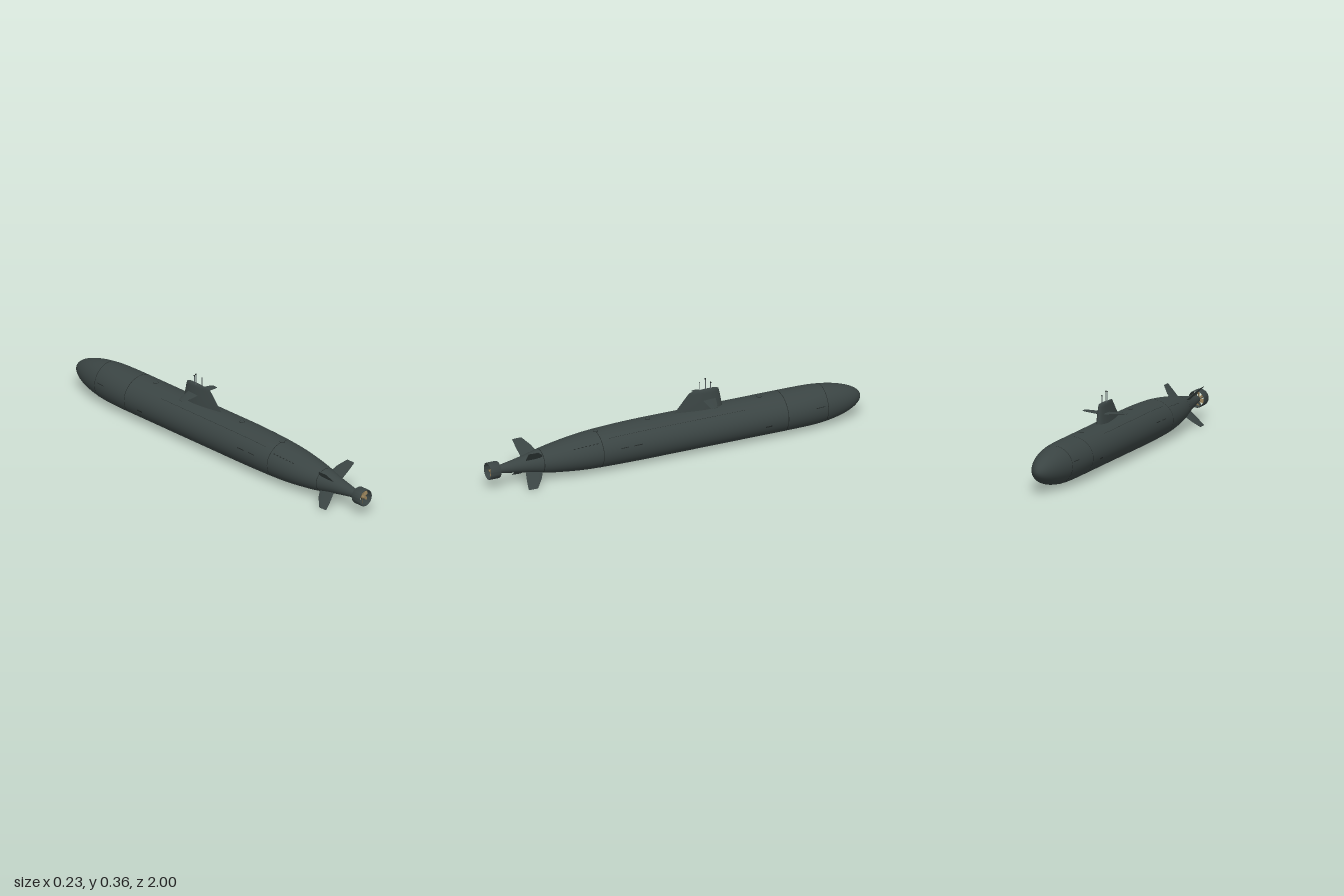
import * as THREE from 'three';
import { toCreasedNormals } from 'three/addons/utils/BufferGeometryUtils.js';

const paint = (name, color) => {
  const m = new THREE.MeshStandardMaterial({ color });
  m.name = name;
  return m;
};

// Skin closed rings (counter-clockwise about the loft direction) and cap both ends
function loft(rings) {
  const n = rings[0].length, pos = [], idx = [];
  rings.forEach(r => r.forEach(p => pos.push(...p)));
  for (let j = 0; j < rings.length - 1; j++) {
    for (let i = 0; i < n; i++) {
      const a = j * n + i, b = j * n + (i + 1) % n;
      idx.push(a, b, b + n, a, b + n, a + n);
    }
  }
  [[rings[0], true], [rings[rings.length - 1], false]].forEach(([r, flip]) => {
    const base = pos.length / 3;
    r.forEach(p => pos.push(...p));
    for (let i = 1; i < n - 1; i++) {
      if (flip) idx.push(base, base + i + 1, base + i);
      else idx.push(base, base + i, base + i + 1);
    }
  });
  const g = new THREE.BufferGeometry();
  g.setAttribute('position', new THREE.Float32BufferAttribute(pos, 3));
  g.setIndex(idx);
  g.computeVertexNormals();
  return g;
}

// Streamlined blade rising along y; each level is [y, leading z, trailing z, half thickness]
function foil(levels, n = 32) {
  return loft(levels.map(([y, lead, trail, half]) => {
    const ring = [];
    for (let i = 0; i < n; i++) {
      const th = i / n * Math.PI * 2, s = (1 - Math.cos(th)) / 2;
      const t = 10 * half * (0.2969 * Math.sqrt(s) - 0.126 * s - 0.3516 * s ** 2 + 0.2843 * s ** 3 - 0.1036 * s ** 4);
      ring.push([i < n / 2 ? -t : t, y, lead + (trail - lead) * s]);
    }
    return ring;
  }));
}

// Hull stations: z, half width, half height, centre height
const stations = [
  [-1, 0.11, 0.099, 0.106], [0, 0.11, 0.099, 0.106], [0.2, 0.11, 0.099, 0.106], [0.4, 0.106, 0.094, 0.104],
  [0.5, 0.1, 0.088, 0.102], [0.6, 0.088, 0.077, 0.1], [0.7, 0.069, 0.063, 0.098],
  [0.8, 0.044, 0.043, 0.097], [0.88, 0.029, 0.029, 0.096], [0.955, 0.017, 0.017, 0.096],
];
const spline = new THREE.CubicInterpolant(stations.map(s => s[0]), stations.flatMap(s => s.slice(1)), 3);
const bow = (z, len) => Math.sqrt(Math.max(0, 1 - Math.max(0, (len - 1 - z) / len) ** 2));

function hullPoint(z, a, off = 0) {
  const [rx, ry, cy] = z < 0 ? stations[0].slice(1) : spline.evaluate(z);
  return [Math.cos(a) * (rx * bow(z, 0.42) + off), cy + Math.sin(a) * (ry * bow(z, 0.3) + off), z];
}

// Thin painted patch lying on the hull
function hullPatch(z0, z1, a0, a1, nz, na, off = 0.0008) {
  const pos = [], idx = [], w = na + 1;
  for (let j = 0; j <= nz; j++) {
    for (let i = 0; i <= na; i++) {
      pos.push(...hullPoint(z0 + (z1 - z0) * j / nz, a0 + (a1 - a0) * i / na, off));
      if (j < nz && i < na) {
        const a = j * w + i;
        idx.push(a, a + 1, a + w + 1, a, a + w + 1, a + w);
      }
    }
  }
  const g = new THREE.BufferGeometry();
  g.setAttribute('position', new THREE.Float32BufferAttribute(pos, 3));
  g.setIndex(idx);
  g.computeVertexNormals();
  return g;
}

export function createModel() {
  const hullMat = paint('hull grey', 0x3a4443);
  const seamMat = paint('seam dark', 0x222827);
  const mastMat = paint('mast grey', 0x5c6667);
  const bronze = paint('propeller bronze', 0x8c7853);
  const model = new THREE.Group();
  model.name = 'submarine';
  const add = (name, geo, mat, parent = model) => {
    const m = new THREE.Mesh(geo, mat);
    m.name = name;
    parent.add(m);
    return m;
  };

  // Hull, with stations packed closely around the bow
  const zs = [];
  for (let i = 0; i <= 28; i++) zs.push(-1 + 0.42 * (1 - Math.cos(Math.max(i, 0.15) / 28 * Math.PI / 2)));
  for (let i = 1; i <= 50; i++) zs.push(-0.58 + 1.535 * i / 50);
  add('hull', loft(zs.map(z => Array.from({ length: 64 }, (_, i) => hullPoint(z, i / 64 * Math.PI * 2)))), hullMat);

  // Panel seams around and along the hull
  for (const z of [-0.79, -0.57, 0.42, 0.72]) {
    add('ringSeam', hullPatch(z, z + 0.003, 0, Math.PI * 2, 1, 64, 0.0006), seamMat);
  }
  for (const side of [1, -1]) {
    const strip = (name, z0, z1, deg, width) => {
      const mid = side > 0 ? deg : 180 - deg;
      const a = THREE.MathUtils.degToRad(mid - width / 2), b = THREE.MathUtils.degToRad(mid + width / 2);
      add(name, hullPatch(z0, z1, a, b, Math.ceil((z1 - z0) / 0.04), 2), seamMat);
    };
    strip('deckSeam', -0.35, 0.38, 50, 0.7);
    strip('sideSlot', 0.215, 0.26, 14, 2.5);
    strip('sideSlot', 0.29, 0.33, 14, 2);
    strip('sideSlot', -0.48, -0.445, -11, 4);
    strip('bowSlot', -0.77, -0.72, 13, 2);
    // Row of flood holes
    for (let i = 0; i < 7; i++) strip('floodHole', 0.44 + i * 0.02, 0.45 + i * 0.02, 42, 3);
  }

  // Deck hatches
  for (const z of [-0.46, 0.14, 0.42]) {
    const top = hullPoint(z, Math.PI / 2)[1];
    add('hatchRim', new THREE.CylinderGeometry(0.013, 0.013, 0.003, 24), seamMat).position.set(0, top - 0.0007, z);
    add('hatchLid', new THREE.CylinderGeometry(0.0112, 0.0112, 0.003, 24), hullMat).position.set(0, top - 0.0003, z);
  }

  // Sail with its sloped trailing edge
  add('sail', foil([
    [0.175, -0.264, 0.005, 0.026], [0.205, -0.26, -0.003, 0.024], [0.25, -0.251, -0.043, 0.0185],
    [0.285, -0.244, -0.073, 0.0145], [0.296, -0.24, -0.084, 0.0125], [0.3, -0.234, -0.096, 0.009],
  ], 40), hullMat);

  // Sail planes
  for (const side of [1, -1]) {
    const plane = add('sailPlane', foil([
      [0.005, -0.225, -0.152, 0.004], [0.108, -0.188, -0.148, 0.0018], [0.115, -0.182, -0.151, 0.001],
    ]), hullMat);
    plane.rotation.z = -side * Math.PI / 2;
    plane.position.y = 0.249;
  }

  // Masts: x, z, top, radius, tip radius
  for (const [x, z, top, r, tip] of [
    [0, -0.139, 0.346, 0.0015, 0.002], [-0.007, -0.174, 0.355, 0.0024, 0.004], [0.005, -0.197, 0.336, 0.0024, 0.0038],
  ]) {
    add('mast', new THREE.CylinderGeometry(r, r, top - 0.29, 12), mastMat).position.set(x, (top + 0.29) / 2, z);
    add('mastHead', new THREE.SphereGeometry(tip, 16, 10), seamMat).position.set(x, top - 0.001, z);
  }

  // Stern assembly around the shaft line
  const stern = new THREE.Group();
  stern.name = 'stern';
  stern.position.y = 0.0965;
  model.add(stern);

  // Crossed tail fins
  for (let i = 0; i < 4; i++) {
    add('tailFin', foil([
      [0.02, 0.705, 0.805, 0.004], [0.09, 0.738, 0.818, 0.0028], [0.134, 0.772, 0.823, 0.0018], [0.136, 0.777, 0.82, 0.001],
    ]), hullMat, stern).rotation.z = Math.PI / 4 + i * Math.PI / 2;
  }

  // Propeller duct
  const duct = [[0.04, 0.944], [0.043, 0.95], [0.043, 0.998], [0.042, 1], [0.0395, 1], [0.038, 0.95], [0.04, 0.944]];
  const ductGeo = new THREE.LatheGeometry(duct.map(p => new THREE.Vector2(...p)), 48).rotateX(Math.PI / 2);
  add('propellerDuct', toCreasedNormals(ductGeo, 0.6), hullMat, stern);
  for (let i = 0; i < 5; i++) {
    add('ductStrut', foil([[0.01, 0.93, 0.957, 0.0015], [0.04, 0.946, 0.962, 0.0012]], 16), hullMat, stern)
      .rotation.z = i / 5 * Math.PI * 2;
  }

  // Six-bladed propeller
  const propeller = new THREE.Group();
  propeller.name = 'propeller';
  propeller.position.z = 0.976;
  stern.add(propeller);
  const hub = [[0.0095, -0.022], [0.009, 0], [0.007, 0.01], [0.004, 0.016], [0, 0.018]];
  add('hub', new THREE.LatheGeometry(hub.map(p => new THREE.Vector2(...p)), 24).rotateX(Math.PI / 2), bronze, propeller);
  const blade = foil([
    [0.004, -0.005, 0.005, 0.0012], [0.016, -0.0085, 0.0085, 0.001], [0.026, -0.011, 0.011, 0.0008],
    [0.033, -0.0095, 0.0095, 0.0006], [0.0365, -0.005, 0.005, 0.0004],
  ], 16).rotateY(0.95);
  for (let i = 0; i < 6; i++) add('blade', blade, bronze, propeller).rotation.z = i * Math.PI / 3;

  return model;
}
